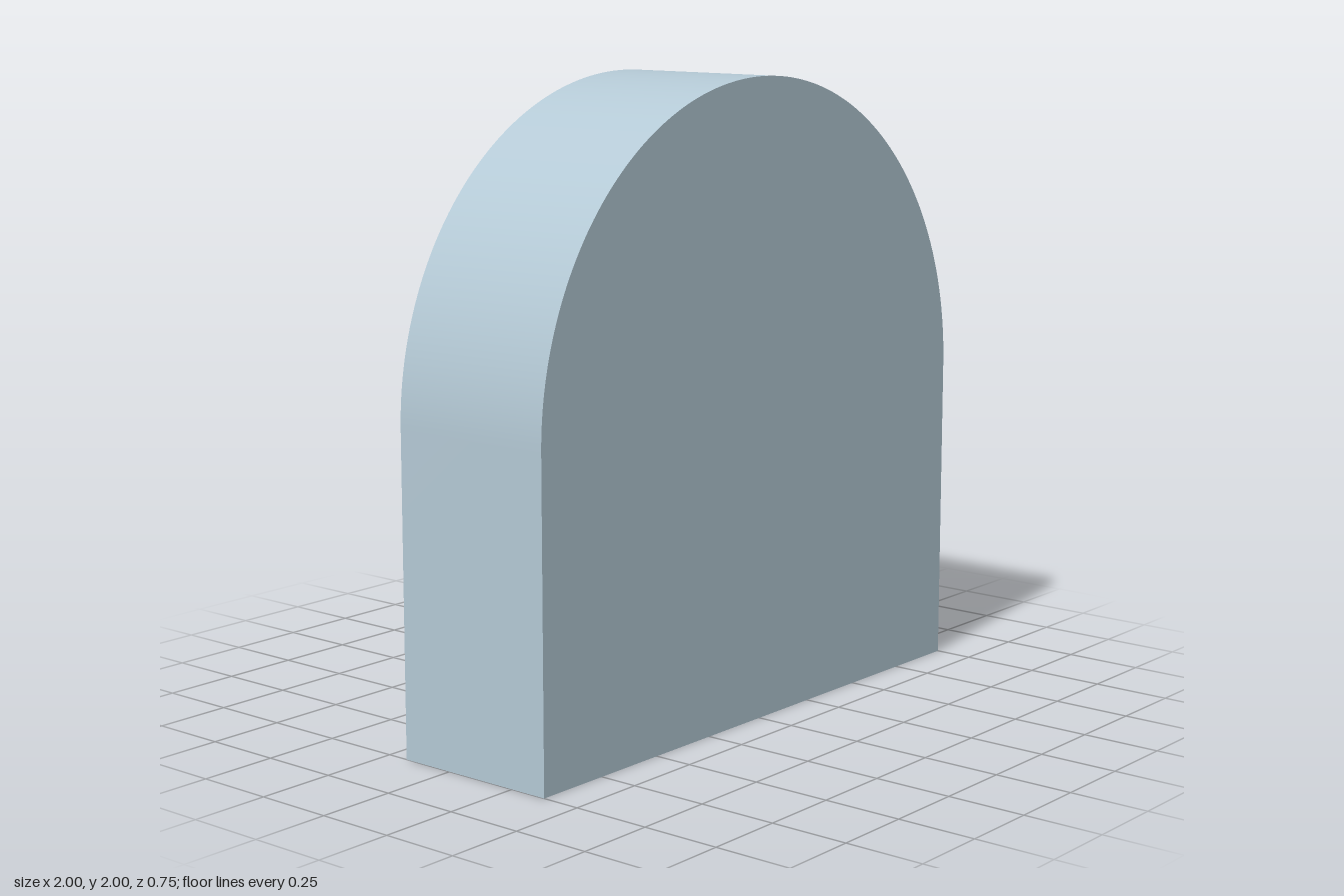
import * as THREE from 'three';
import { toCreasedNormals } from 'three/addons/utils/BufferGeometryUtils.js';

const FRONT = 0.375, BACK = -0.375, SEAM = -0.178;

export function createModel() {
  const model = new THREE.Group();
  model.name = 'archedBlockWithSpokes';
  const blueGrey = new THREE.MeshStandardMaterial({ color: 0xb4c9d5 });
  blueGrey.name = 'pale blue grey';

  const addExtrusion = (name, shape, z0, z1) => {
    const geometry = new THREE.ExtrudeGeometry(shape, {
      depth: z1 - z0, bevelEnabled: false, curveSegments: 64,
    });
    geometry.translate(0, 0, z0);
    const mesh = new THREE.Mesh(toCreasedNormals(geometry, 0.5), blueGrey);
    mesh.name = name;
    model.add(mesh);
  };

  // Block: square base with a semicircular top
  const arch = new THREE.Shape();
  arch.moveTo(-1, 0);
  arch.lineTo(1, 0);
  arch.lineTo(1, 1);
  arch.absarc(0, 1, 1, 0, Math.PI, false);
  arch.closePath();
  addExtrusion('archedBlock', arch, SEAM, FRONT);

  // Eight square-ended spokes raised on the back
  const spokes = 8, reach = 0.75, half = 0.15;
  const notch = half / Math.sin(Math.PI / spokes);
  const points = [];
  for (let i = 0; i < spokes; i++) {
    const a = (i / spokes) * Math.PI * 2;
    const c = Math.cos(a), s = Math.sin(a), n = a + Math.PI / spokes;
    points.push(
      new THREE.Vector2(reach * c + half * s, 1 + reach * s - half * c),
      new THREE.Vector2(reach * c - half * s, 1 + reach * s + half * c),
      new THREE.Vector2(notch * Math.cos(n), 1 + notch * Math.sin(n)),
    );
  }
  addExtrusion('raisedSpokes', new THREE.Shape(points), BACK, SEAM);

  return model;
}
